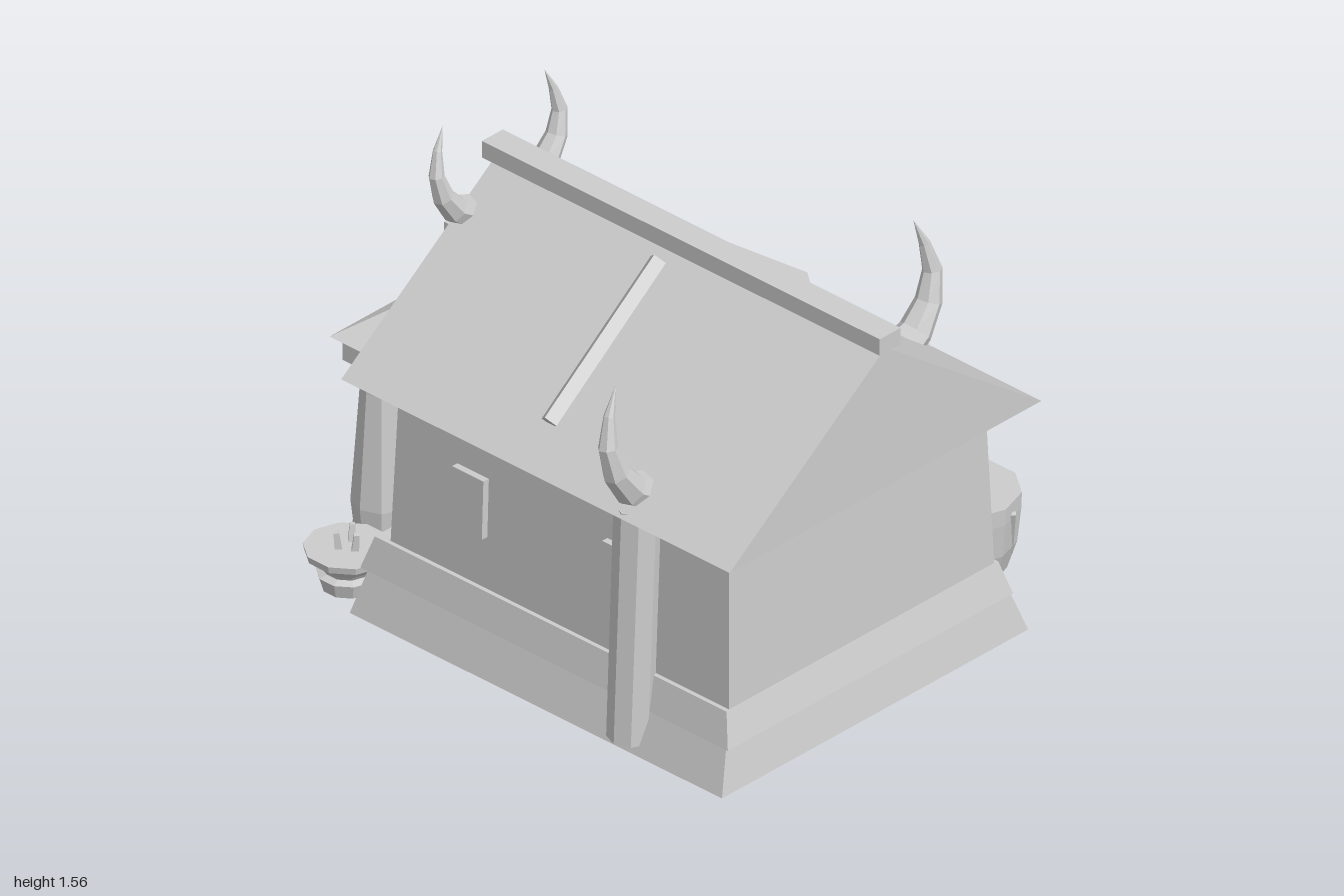
import * as THREE from 'three';
import { ConvexGeometry } from 'three/addons/geometries/ConvexGeometry.js';

// Double-sided because footings, bowls and drum are hollow underneath
const grey = new THREE.MeshStandardMaterial({ color: 0xcccccc, side: THREE.DoubleSide });
grey.name = 'plain grey';

// Adds a named, flat-shaded mesh
function add(parent, name, geometry, x = 0, y = 0, z = 0) {
  const geo = geometry.index ? geometry.toNonIndexed() : geometry;
  geo.computeVertexNormals();
  const mesh = new THREE.Mesh(geo, grey);
  mesh.name = name;
  mesh.position.set(x, y, z);
  parent.add(mesh);
  return mesh;
}

// Box standing on y = 0 whose top may differ in size from its foot; hollow ones have no bottom face
function frustum(w0, d0, w1, d1, h, hollow = false) {
  const geo = new THREE.BoxGeometry(1, h, 1).translate(0, h / 2, 0);
  const p = geo.attributes.position;
  for (let i = 0; i < p.count; i++) {
    const top = p.getY(i) > h / 2;
    p.setX(i, p.getX(i) * (top ? w1 : w0));
    p.setZ(i, p.getZ(i) * (top ? d1 : d0));
  }
  if (hollow) {
    const index = Array.from(geo.index.array);
    index.splice(18, 6);
    geo.setIndex(index);
  }
  return geo;
}

function lathe(points, sides) {
  return new THREE.LatheGeometry(points.map(([r, y]) => new THREE.Vector2(r, y)), sides);
}

// Straight bar from a to b
function bar(parent, name, a, b, r0, r1, sides) {
  const from = new THREE.Vector3(...a), to = new THREE.Vector3(...b);
  const dir = to.clone().sub(from);
  const mesh = add(parent, name, new THREE.CylinderGeometry(r1, r0, dir.length(), sides));
  mesh.position.copy(from).add(to).multiplyScalar(0.5);
  mesh.quaternion.setFromUnitVectors(new THREE.Vector3(0, 1, 0), dir.normalize());
}

// Curved horn tapering to a point; side is -1 or 1
function hornGeometry(side) {
  const pts = [[0.55, 0.875, 0.49], [0.603, 0.9, 0.495], [0.685, 0.985, 0.495],
    [0.725, 1.1, 0.485], [0.706, 1.205, 0.47], [0.665, 1.305, 0.46]];
  const curve = new THREE.CatmullRomCurve3(pts.map(([x, y, z]) => new THREE.Vector3(x * side, y, z)));
  const rings = 5, sides = 7;
  const geo = new THREE.TubeGeometry(curve, rings, 0.068, sides);
  const p = geo.attributes.position, v = new THREE.Vector3();
  for (let i = 0; i < p.count; i++) {
    const u = Math.floor(i / (sides + 1)) / rings;
    const c = curve.getPointAt(u);
    v.fromBufferAttribute(p, i).sub(c).multiplyScalar(Math.pow(1 - u, 0.8)).add(c);
    p.setXYZ(i, v.x, v.y, v.z);
  }
  return geo;
}

function buildHouse() {
  const house = new THREE.Group();
  house.name = 'house';

  // Stepped footing and tapered walls
  add(house, 'lowerFooting', frustum(1.385, 1.6, 1.285, 1.54, 0.145, true), 0, 0, 0.135);
  add(house, 'upperFooting', frustum(1.29, 1.58, 1.23, 1.512, 0.115), 0, 0.145, 0.125);
  add(house, 'walls', frustum(1.2, 1.455, 1.16, 1.415, 0.6), 0, 0.255, 0.15);

  // Solid gable roof and ridge beam
  const gable = new THREE.Shape([[-0.705, 0.85], [0.705, 0.85], [0, 1.36]].map(([x, y]) => new THREE.Vector2(x, y)));
  add(house, 'roof', new THREE.ExtrudeGeometry(gable, { depth: 1.67, bevelEnabled: false }), 0, 0, -0.69);
  add(house, 'ridgeBeam', new THREE.BoxGeometry(0.095, 0.06, 1.71), 0, 1.39, 0.145);

  for (const s of [-1, 1]) {
    // Roof battens, side posts, eave horns and windows
    bar(house, 'roofBatten', [s * 0.575, 0.962, 0.08], [s * 0.08, 1.337, 0.08], 0.032, 0.032, 4);
    bar(house, 'sidePost', [s * 0.655, 0.03, 0.505], [s * 0.618, 0.86, 0.505], 0.075, 0.078, 8);
    add(house, 'eaveHorn', hornGeometry(s), s * 0.008);
    for (const z of [0.41, -0.235]) {
      const pane = add(house, 'window', new THREE.BoxGeometry(0.04, 0.21, 0.135), s * 0.595, 0.55, z);
      pane.rotation.z = s * 0.033;
    }
  }
  return house;
}

function buildHead() {
  const head = new THREE.Group();
  head.name = 'hornedHead';

  // Faceted skull, symmetric about x = 0
  const half = [[0.1, 1.28, -0.67], [0.22, 1.2, -0.67], [0.2, 1.02, -0.67], [0.06, 0.83, -0.64],
    [0.1, 1.21, -0.735], [0.125, 1.11, -0.77], [0.06, 0.95, -0.755], [0.04, 0.87, -0.71], [0, 1.12, -0.79]];
  const pts = half.flatMap(([x, y, z]) => [new THREE.Vector3(x, y, z), new THREE.Vector3(-x, y, z)]);
  add(head, 'skull', new ConvexGeometry(pts));

  // Wedge nose
  const nose = add(head, 'nose', new THREE.CylinderGeometry(0.05, 0.05, 0.135, 3), 0, 1.055, -0.795);
  nose.rotation.set(0.08, Math.PI, 0, 'XYZ');

  for (const s of [-1, 1]) {
    add(head, 'eye', new THREE.BoxGeometry(0.06, 0.03, 0.05), s * 0.1, 1.11, -0.77);
    const horn = add(head, 'headHorn', hornGeometry(s), s * -0.302, 0.516, -1.073);
    horn.scale.setScalar(0.8);
  }
  return head;
}

function buildPorch() {
  const porch = new THREE.Group();
  porch.name = 'porch';

  // Hipped roof on a fascia slab
  add(porch, 'porchRoof', frustum(0.868, 0.435, 0.001, 0.001, 0.14), 0, 0.755, -0.78);
  add(porch, 'fascia', new THREE.BoxGeometry(0.8, 0.09, 0.41), 0, 0.71, -0.77);

  // Steps
  add(porch, 'lowerStep', frustum(0.72, 0.4, 0.72, 0.4, 0.065, true), 0, 0, -0.77);
  add(porch, 'upperStep', new THREE.BoxGeometry(0.53, 0.08, 0.24), 0, 0.105, -0.68);

  // Doorway
  add(porch, 'lintel', new THREE.BoxGeometry(0.53, 0.055, 0.18), 0, 0.637, -0.655);
  add(porch, 'door', new THREE.BoxGeometry(0.42, 0.47, 0.06), 0, 0.38, -0.58);
  add(porch, 'doorKnob', new THREE.BoxGeometry(0.025, 0.025, 0.03), 0.09, 0.36, -0.62);
  for (const s of [-1, 1]) {
    add(porch, 'doorJamb', new THREE.BoxGeometry(0.06, 0.47, 0.18), s * 0.23, 0.38, -0.655);
    // Flared columns
    add(porch, 'column', lathe([[0, 0], [0.085, 0], [0.095, 0.09], [0.066, 0.5], [0.068, 0.54],
      [0.09, 0.585], [0.09, 0.61], [0, 0.61]], 8), s * 0.31, 0.06, -0.895);
  }
  return porch;
}

// Footed offering bowl with three small sticks
function buildBowl(x) {
  const bowl = new THREE.Group();
  bowl.name = 'offeringBowl';
  add(bowl, 'bowlBody', lathe([[0.085, 0], [0.1, 0.05], [0.075, 0.06], [0.085, 0.075],
    [0.137, 0.118], [0.142, 0.142], [0, 0.142]], 10));
  for (const [dx, dz] of [[-0.027, -0.013], [0.03, -0.013], [0, 0.03]]) {
    bar(bowl, 'stick', [dx, 0.12, dz], [dx * 1.3, 0.2, dz * 1.3], 0.018, 0.012, 4);
  }
  bowl.position.set(x, 0, -0.785);
  return bowl;
}

// Drum with slanted pegs around it
function buildDrum() {
  const drum = new THREE.Group();
  drum.name = 'drum';
  add(drum, 'drumBody', lathe([[0.14, 0], [0.172, 0.1], [0.185, 0.22], [0.187, 0.28], [0, 0.28]], 10));
  for (let i = 0; i < 6; i++) {
    const a = i * Math.PI / 3 + 0.25, b = a + 0.25;
    bar(drum, 'drumPeg', [0.158 * Math.sin(b), 0.07, 0.158 * Math.cos(b)],
      [0.18 * Math.sin(a), 0.24, 0.18 * Math.cos(a)], 0.006, 0.013, 4);
  }
  drum.position.set(0.705, 0, 0.52);
  return drum;
}

export function createModel() {
  const model = new THREE.Group();
  model.name = 'longhouse';
  const building = new THREE.Group();
  building.name = 'building';
  building.position.x = -0.127;
  building.add(buildHouse(), buildHead(), buildPorch(), buildBowl(-0.575), buildBowl(0.575));
  model.add(building, buildDrum());
  return model;
}
